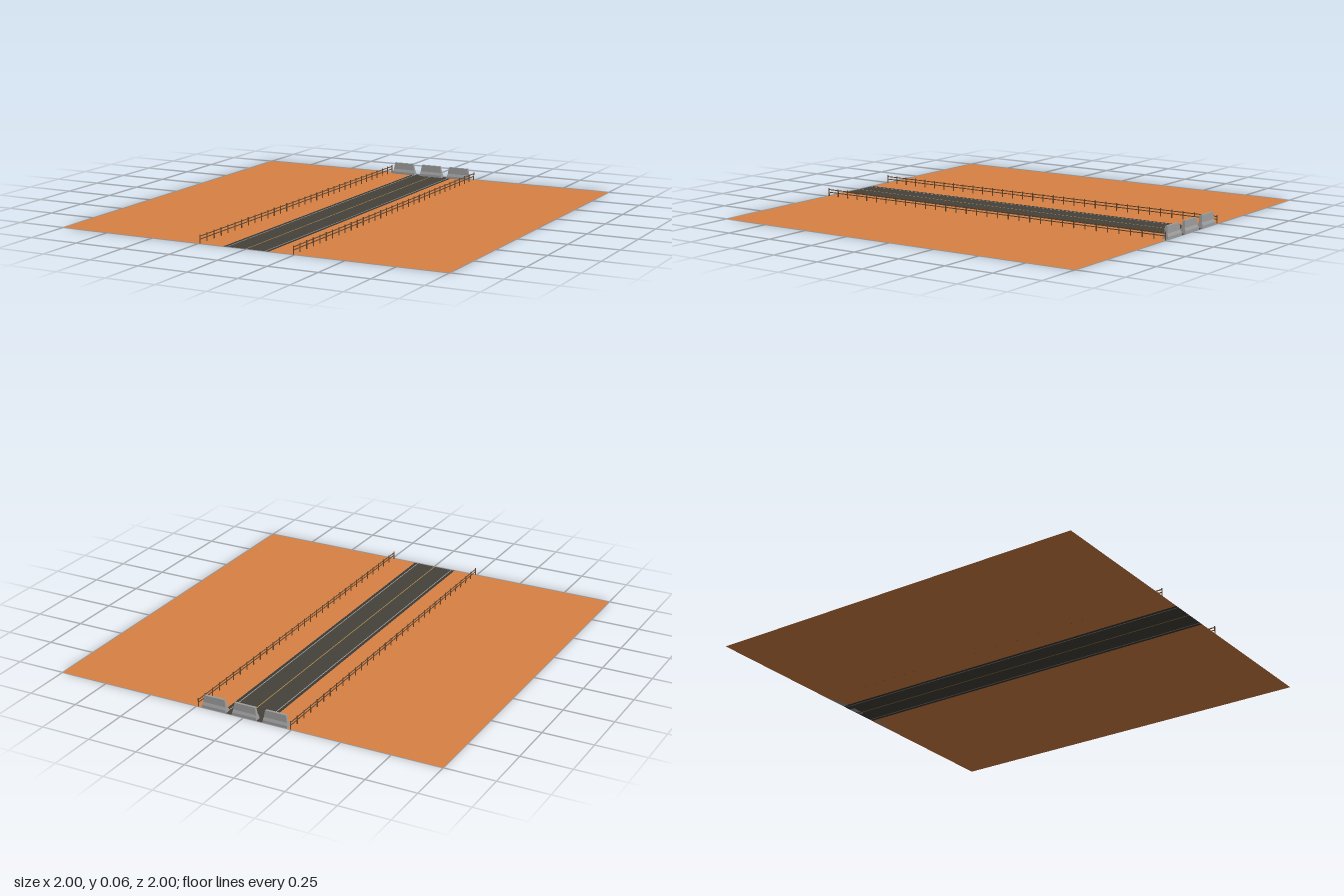
import * as THREE from 'three';

const mat = (color, side = THREE.FrontSide) =>
  new THREE.MeshStandardMaterial({ color, side, flatShading: true });

const SAND = mat(0xd98243, THREE.DoubleSide);
const ASPHALT = mat(0x45413a, THREE.DoubleSide);
const SHOULDER = mat(0x3a3935, THREE.DoubleSide);
const WHITE = mat(0xa09d94, THREE.DoubleSide);
const YELLOW = mat(0xb08a4a, THREE.DoubleSide);
const WOOD = mat(0x6b4a30);
const CONCRETE = mat(0x9c9c9c);

function box(name, w, h, d, x, y, z, material) {
  const mesh = new THREE.Mesh(new THREE.BoxGeometry(w, h, d), material);
  mesh.name = name;
  mesh.position.set(x, y, z);
  return mesh;
}

// Flat strip running the full length, from x0 to x1
function strip(name, x0, x1, material) {
  const mesh = new THREE.Mesh(new THREE.PlaneGeometry(x1 - x0, 2).rotateX(-Math.PI / 2), material);
  mesh.name = name;
  mesh.position.x = (x0 + x1) / 2;
  return mesh;
}

// Concrete barrier: wide foot, sloped shoulder, narrow top, ends leaning in
function barrierGeometry() {
  const levels = [
    { y: 0, x: 0.065, z: 0.015 },
    { y: 0.012, x: 0.0625, z: 0.0145 },
    { y: 0.026, x: 0.06, z: 0.0085 },
    { y: 0.06, x: 0.0535, z: 0.0065 },
  ];
  const geo = new THREE.BoxGeometry(2, 3, 2, 1, 3, 1);
  const p = geo.attributes.position;
  for (let i = 0; i < p.count; i++) {
    const l = levels[Math.round(p.getY(i) + 1.5)];
    p.setXYZ(i, Math.sign(p.getX(i)) * l.x, l.y, Math.sign(p.getZ(i)) * l.z);
  }
  geo.computeVertexNormals();
  return geo;
}

// Two-rail fence with evenly spaced posts
function fence(name, x) {
  const group = new THREE.Group();
  group.name = name;
  group.position.x = x;
  for (let i = 0; i <= 32; i++) {
    const z = THREE.MathUtils.clamp(-1 + i * 0.0625, -0.998, 0.998);
    group.add(box('fencePost', 0.004, 0.041, 0.004, 0, 0.0205, z, WOOD));
  }
  for (const y of [0.02, 0.034]) {
    group.add(box('fenceRail', 0.003, 0.004, 2, 0, y, 0, WOOD));
  }
  return group;
}

export function createModel() {
  const model = new THREE.Group();
  model.name = 'desertRoad';

  // Ground and road as adjoining strips
  const strips = [
    ['groundRight', -1, SAND],
    ['shoulderRight', -0.12, SHOULDER],
    ['edgeLineRight', -0.104, WHITE],
    ['laneRight', -0.099, ASPHALT],
    ['centreLine', -0.005, YELLOW],
    ['laneLeft', 0.0, ASPHALT],
    ['edgeLineLeft', 0.095, WHITE],
    ['shoulderLeft', 0.1, SHOULDER],
    ['groundLeft', 0.116, SAND],
  ];
  strips.forEach(([name, x0, material], i) => {
    const x1 = i + 1 < strips.length ? strips[i + 1][1] : 1;
    model.add(strip(name, x0, x1, material));
  });

  // Fences along both sides
  model.add(fence('fenceRight', -0.244), fence('fenceLeft', 0.241));

  // Barriers closing the far end
  const geo = barrierGeometry();
  for (const x of [-0.163, -0.002, 0.158]) {
    const barrier = new THREE.Mesh(geo, CONCRETE);
    barrier.name = 'roadBarrier';
    barrier.position.set(x, 0, -0.985);
    model.add(barrier);
  }
  return model;
}
